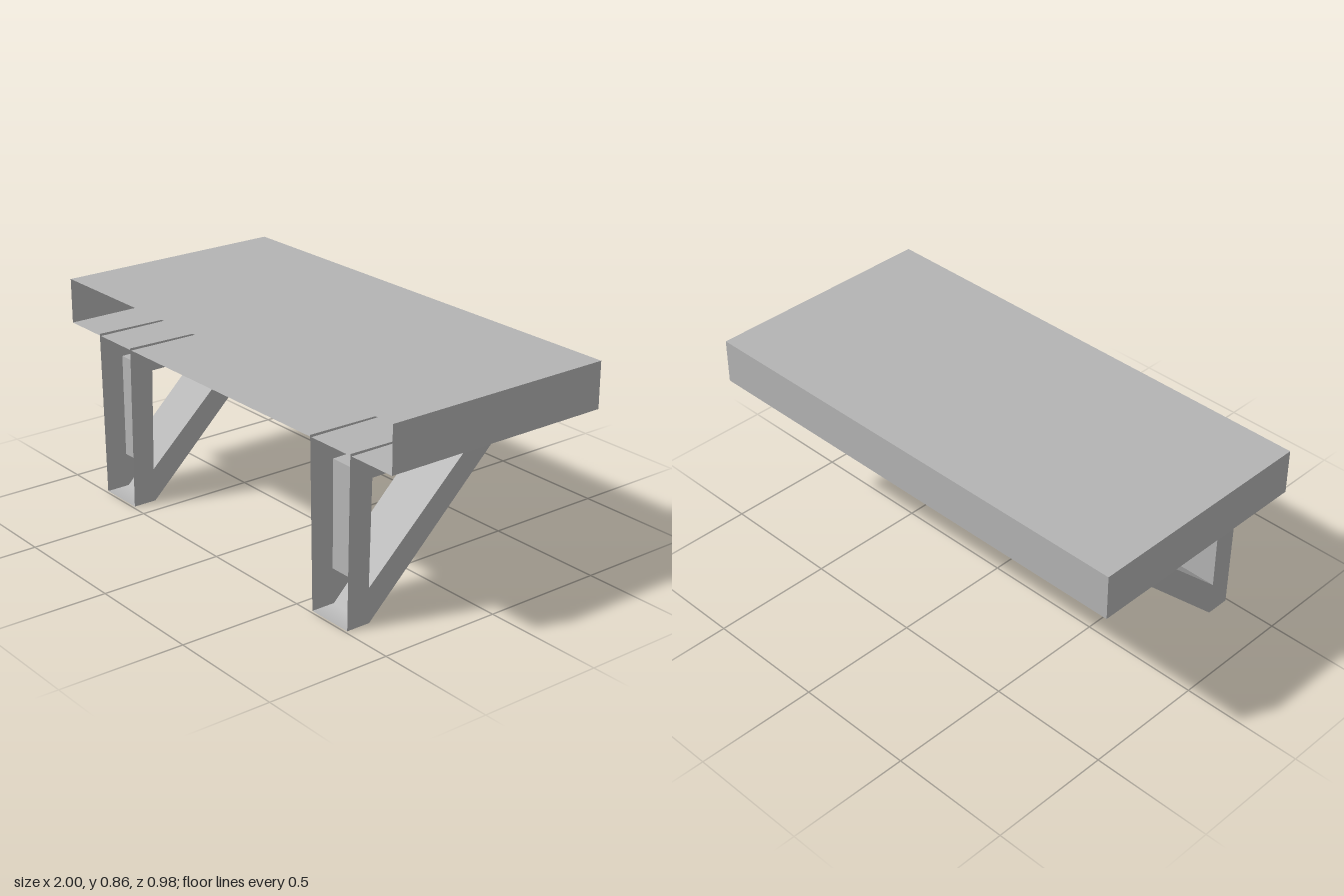
import * as THREE from 'three';

const grey = new THREE.MeshStandardMaterial({ color: 0xb4b4b4, side: THREE.DoubleSide });
grey.name = 'plain grey';

// Bracket profiles as [z, y]
const outer = [[0.49, 0], [0.39, 0], [-0.187, 0.565], [-0.187, 0.672], [0.49, 0.68]];
const hole = [[0.39, 0.565], [-0.06, 0.572], [0.395, 0.14]];

// Half width of a bracket, widening slightly towards the shelf
const halfWidth = (y) => 0.099 + 0.011 * Math.min(1, y / 0.68);

function mesh(name, geometry) {
  const m = new THREE.Mesh(geometry, grey);
  m.name = name;
  return m;
}

// Wall joining the two cheeks along a run of profile points
function wall(points, flip) {
  const pos = [], index = [];
  points.forEach(([z, y], i) => {
    const w = halfWidth(y);
    pos.push(-w, y, z, w, y, z);
    if (i === 0) return;
    const a = 2 * i - 2;
    if (flip) index.push(a, a + 2, a + 1, a + 1, a + 2, a + 3);
    else index.push(a, a + 1, a + 2, a + 1, a + 3, a + 2);
  });
  const g = new THREE.BufferGeometry();
  g.setAttribute('position', new THREE.Float32BufferAttribute(pos, 3));
  g.setIndex(index);
  g.computeVertexNormals();
  return g;
}

// Triangular side plate with its cut-out; side is +1 or -1
function cheek(side) {
  const toVectors = (pts) => pts.map(([z, y]) => new THREE.Vector2(-z, y));
  const shape = new THREE.Shape(toVectors(outer));
  shape.holes.push(new THREE.Path(toVectors(hole)));
  const g = new THREE.ShapeGeometry(shape);
  g.rotateY(Math.PI / 2);
  const p = g.attributes.position;
  for (let i = 0; i < p.count; i++) p.setX(i, side * halfWidth(p.getY(i)));
  if (side < 0) {
    const ix = g.index.array;
    for (let i = 0; i < ix.length; i += 3) [ix[i], ix[i + 1]] = [ix[i + 1], ix[i]];
  }
  g.computeVertexNormals();
  return g;
}

// Hollow bracket, open at the front and the top
function bracket(name, x) {
  const b = new THREE.Group();
  b.name = name;
  b.add(mesh('leftCheek', cheek(1)), mesh('rightCheek', cheek(-1)));
  b.add(mesh('outerWall', wall(outer.slice(0, 4), true)));
  hole.forEach((p, i) => b.add(mesh('cutOutWall', wall([p, hole[(i + 1) % 3]], false))));
  b.position.x = x;
  return b;
}

// Hollow shelf board, open at the front
function shelf() {
  const g = new THREE.BoxGeometry(2, 0.185, 0.975);
  // Drop the front face (the fifth of six)
  g.setIndex([...g.index.array].filter((_, i) => i < 24 || i >= 30));
  g.clearGroups();
  const m = mesh('shelfBoard', g);
  m.position.set(0, 0.7625, -0.0025);
  return m;
}

export function createModel() {
  const model = new THREE.Group();
  model.name = 'wallShelf';
  model.add(shelf(), bracket('leftBracket', 0.678), bracket('rightBracket', -0.678));
  return model;
}
